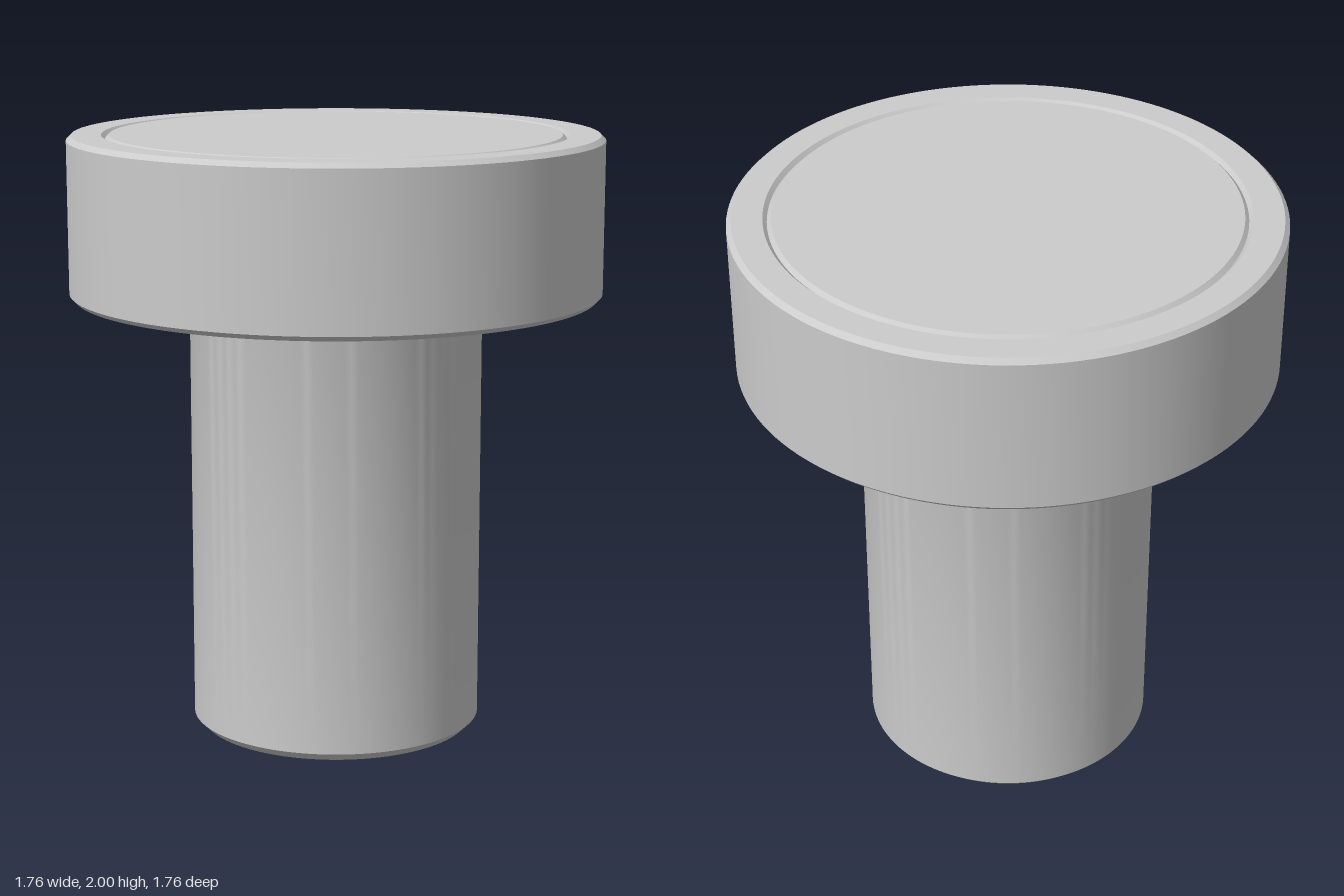
import * as THREE from 'three';
import { toCreasedNormals } from 'three/addons/utils/BufferGeometryUtils.js';

const material = new THREE.MeshStandardMaterial({ color: 0xcccccc });

// Revolve a [radius, height] profile; smooth around, sharp at the chamfers
function turned(name, profile) {
  const points = profile.map(([r, y]) => new THREE.Vector2(r, y));
  const geometry = toCreasedNormals(new THREE.LatheGeometry(points, 128), Math.PI / 6);
  const mesh = new THREE.Mesh(geometry, material);
  mesh.name = name;
  return mesh;
}

export function createModel() {
  const group = new THREE.Group();
  group.name = 'cylindricalButton';

  const shankR = 0.485, headR = 0.88, headY = 1.467, fillet = 0.027, chamfer = 0.016;

  // Concave fillet where the shank meets the head
  const neck = [];
  for (let i = 0; i <= 6; i++) {
    const a = (i / 6) * Math.PI / 2;
    neck.push([shankR + fillet * (1 - Math.cos(a)), headY - fillet * (1 - Math.sin(a))]);
  }

  // Blind stepped bore, chamfered foot, straight shank and neck
  group.add(turned('shank', [
    [0, 0.99], [0.16, 0.9], [0.16, 0.11], [0.247, 0.11], [0.247, 0],
    [0.457, 0], [shankR, 0.028], ...neck,
  ]));

  // Chamfered disc with a shallow V groove around its top face
  group.add(turned('head', [
    [shankR + fillet, headY], [headR - chamfer, headY], [headR, headY + chamfer],
    [headR, 2 - chamfer], [headR - chamfer, 2],
    [0.766, 2], [0.753, 1.987], [0.74, 2], [0, 2],
  ]));

  return group;
}
